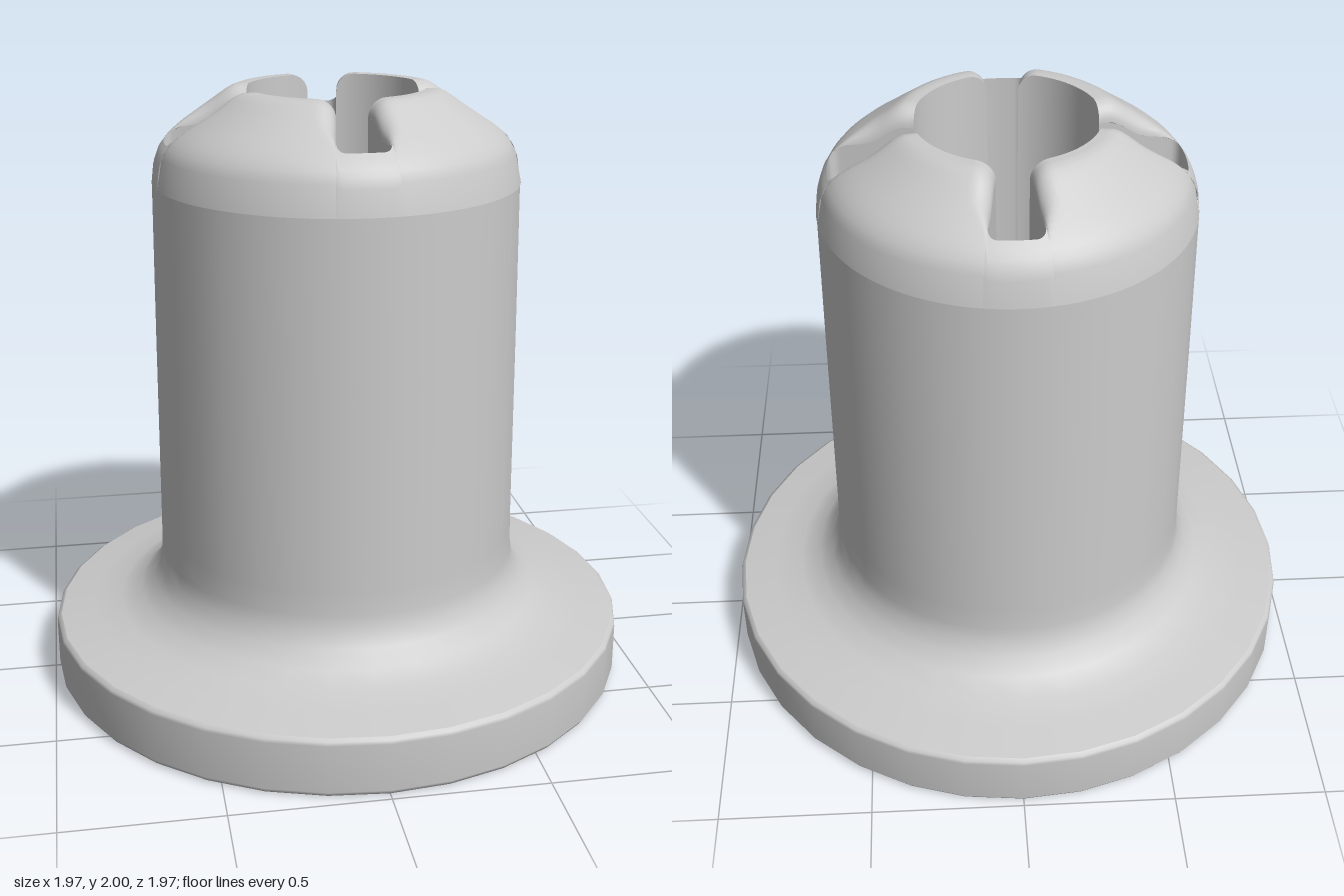
import * as THREE from 'three';
import { toCreasedNormals } from 'three/addons/utils/BufferGeometryUtils.js';

const SIDES = 32;
const SLOT = THREE.MathUtils.degToRad(9.8); // half angle of a slot
const BORE = 0.29;                          // radius of the central socket
const RIM = 0.6;                            // radius where dome meets body
const FLOOR = 0.14;                         // depth of the socket floor
const CORNER = 0.03;                        // rounded slot corners
const DOME = [[0.25, 2], [0.335, 2], [0.36, 1.987], [0.51, 1.88], [0.55, 1.845], [0.575, 1.81], [0.592, 1.765], [RIM, 1.7]];

// Dome height by radius
function domeHeight(r) {
  for (let i = 1; i < DOME.length; i++) {
    const [r0, y0] = DOME[i - 1], [r1, y1] = DOME[i];
    if (r <= r1) return y0 + (y1 - y0) * (r - r0) / (r1 - r0);
  }
  return DOME[DOME.length - 1][1];
}

// The slots along x reach further out than those along z
const slotEnd = (k) => (k % 2 === 0 ? 0.558 : 0.515);

// Dome height with the lips rounded over beside each slot
function surfaceHeight(r, theta) {
  const k = Math.round(theta / (Math.PI / 2));
  const off = Math.abs(theta - k * Math.PI / 2);
  const d = r * Math.max(0, off - SLOT);
  const f = 0.06 * (1 - THREE.MathUtils.smoothstep(r, 0.4, slotEnd(k)));
  return domeHeight(r) - (d < f ? f - Math.sqrt(f * f - (f - d) * (f - d)) : 0);
}

// End of slot k at an angle from its axis, with rounded corners
function slotRadius(k, off) {
  const R = slotEnd(k);
  const d = Math.max(0, R * (SLOT - Math.abs(off)));
  return d >= CORNER ? R : R - CORNER + Math.sqrt(CORNER ** 2 - (CORNER - d) ** 2);
}

const polar = (r, theta, y) => [r * Math.cos(theta), y, r * Math.sin(theta)];

// Surface over a grid of points
function gridGeometry(nu, nv, point) {
  const pos = [], index = [];
  for (let i = 0; i <= nu; i++) {
    for (let j = 0; j <= nv; j++) {
      pos.push(...point(i, j));
      if (i < nu && j < nv) {
        const a = i * (nv + 1) + j, b = a + nv + 1;
        index.push(a, b, a + 1, b, b + 1, a + 1);
      }
    }
  }
  const g = new THREE.BufferGeometry();
  g.setAttribute('position', new THREE.Float32BufferAttribute(pos, 3));
  g.setIndex(index);
  g.computeVertexNormals();
  return g;
}

export function createModel() {
  const group = new THREE.Group();
  const material = new THREE.MeshStandardMaterial({ color: 0xcccccc, side: THREE.DoubleSide });
  const add = (name, geometry) => {
    const mesh = new THREE.Mesh(geometry, material);
    mesh.name = name;
    group.add(mesh);
  };
  const lathe = (pts) => new THREE.LatheGeometry(pts.map(([x, y]) => new THREE.Vector2(x, y)), SIDES);

  // Flange edge, then the fillet and body as one hollow shell
  add('flangeEdge', lathe([[0.955, 0], [0.975, 0.004], [0.985, 0.02], [0.985, 0.18], [0.982, 0.192], [0.97, 0.2]]));
  add('body', lathe([[0.97, 0.2], [0.86, 0.22], [0.76, 0.238], [0.69, 0.272], [0.645, 0.32], [0.62, 0.37],
    [0.612, 0.42], [0.61, 0.5], [0.605, 1.2], [0.6005, 1.66], [RIM, 1.7]]));

  const loop = []; // outline of the cross-shaped socket as [radius, angle]
  for (let k = 0; k < 4; k++) {
    const axis = k * Math.PI / 2;
    const N = 28, M = 20, V = 16;

    // Dome behind the slot end
    const slotAngle = (i) => -SLOT * Math.cos(Math.PI * i / M);
    add('domeSlotEnd', gridGeometry(M, 6, (i, j) => {
      const off = slotAngle(i);
      const r = THREE.MathUtils.lerp(slotRadius(k, off), RIM, j / 6);
      return polar(r, axis + off, domeHeight(r));
    }));

    // Dome segment between this slot and the next
    const segAngle = (i) => axis + SLOT + (Math.PI / 2 - 2 * SLOT) * (1 - Math.cos(Math.PI * i / N)) / 2;
    add('domeSegment', gridGeometry(N, V, (i, j) => {
      const r = THREE.MathUtils.lerp(BORE, RIM, j / V), t = segAngle(i);
      return polar(r, t, surfaceHeight(r, t));
    }));

    // Outline: slot end, slot side, bore arc, next slot side
    const side = (q, t, dir) => {
      for (let s = 1; s < 8; s++) {
        const f = dir > 0 ? s / 8 : 1 - s / 8;
        loop.push([THREE.MathUtils.lerp(BORE, slotEnd(q) - CORNER, f), t]);
      }
    };
    for (let i = 0; i <= M; i++) loop.push([slotRadius(k, slotAngle(i)), axis + slotAngle(i)]);
    side(k, axis + SLOT, -1);
    for (let i = 0; i <= N; i++) loop.push([BORE, segAngle(i)]);
    side(k + 1, axis + Math.PI / 2 - SLOT, 1);
  }

  // Socket wall and floor, hanging inside the hollow body
  const wall = gridGeometry(loop.length, 1, (i, j) => {
    const [r, t] = loop[i % loop.length];
    return polar(r, t, j ? surfaceHeight(r, t) : FLOOR);
  });
  add('socketWall', toCreasedNormals(wall, 0.6));

  const outline = new THREE.Shape(loop.map(([r, t]) => new THREE.Vector2(r * Math.cos(t), r * Math.sin(t))));
  add('socketFloor', new THREE.ShapeGeometry(outline).rotateX(-Math.PI / 2).translate(0, FLOOR, 0));

  return group;
}
